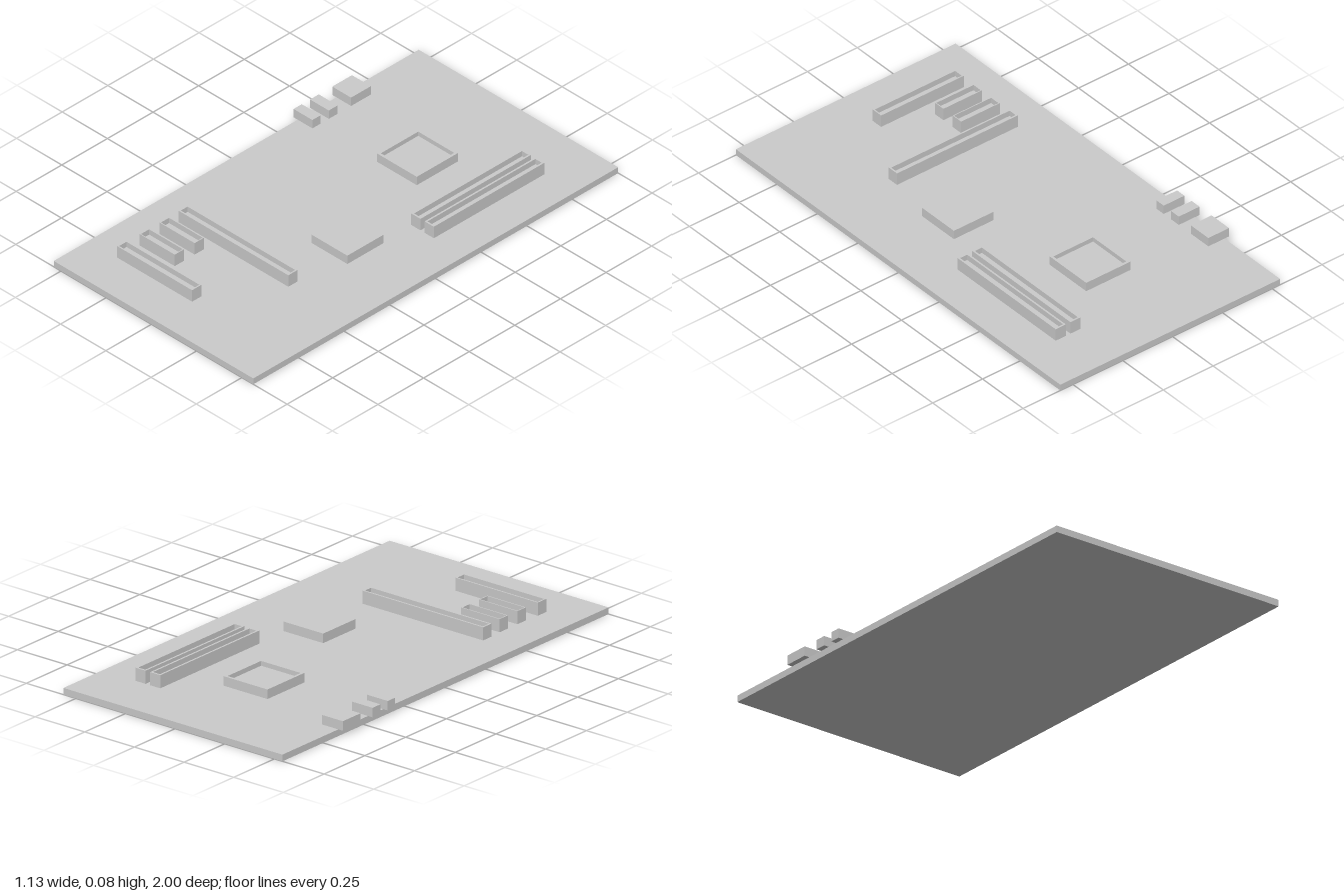
import * as THREE from 'three';

const BOARD_TOP = 0.028;
const material = new THREE.MeshStandardMaterial({ color: 0xcccccc, flatShading: true });

// Solid block given by its extents
function block(name, x0, x1, y0, y1, z0, z1) {
  const mesh = new THREE.Mesh(new THREE.BoxGeometry(x1 - x0, y1 - y0, z1 - z0), material);
  mesh.name = name;
  mesh.position.set((x0 + x1) / 2, (y0 + y1) / 2, (z0 + z1) / 2);
  return mesh;
}

// Open-topped housing: a raised rim around a recessed floor
function tray(name, x0, x1, z0, z1, top, wall, depth) {
  const group = new THREE.Group();
  group.name = name;
  const w = (x1 - x0) / 2, d = (z1 - z0) / 2;
  const rect = (Type, a, b) => new Type([
    new THREE.Vector2(-a, -b), new THREE.Vector2(a, -b),
    new THREE.Vector2(a, b), new THREE.Vector2(-a, b),
  ]);
  const shape = rect(THREE.Shape, w, d);
  shape.holes.push(rect(THREE.Path, w - wall, d - wall));
  const geometry = new THREE.ExtrudeGeometry(shape, { depth: top - BOARD_TOP, bevelEnabled: false });
  geometry.rotateX(-Math.PI / 2);
  const rim = new THREE.Mesh(geometry, material);
  rim.name = 'rim';
  rim.position.set((x0 + x1) / 2, BOARD_TOP, (z0 + z1) / 2);
  group.add(rim, block('floor', x0 + wall, x1 - wall, BOARD_TOP, top - depth, z0 + wall, z1 - wall));
  return group;
}

export function createModel() {
  const model = new THREE.Group();
  model.name = 'circuitBoard';

  // Board
  model.add(block('board', -0.54, 0.563, 0, BOARD_TOP, -1, 1));

  // Processor socket and chipset
  model.add(tray('processorSocket', -0.125, 0.096, -0.586, -0.359, 0.068, 0.011, 0.02));
  model.add(block('chipset', 0.08, 0.279, BOARD_TOP, 0.068, 0.005, 0.203));

  // Memory slots
  for (const [x0, x1] of [[0.269, 0.32], [0.343, 0.394]]) {
    model.add(tray('memorySlot', x0, x1, -0.764, -0.157, 0.083, 0.008, 0.025));
  }

  // Expansion slots: x range, z range, wall
  const slots = [
    [-0.383, 0.225, 0.422, 0.473, 0.007],
    [-0.378, -0.184, 0.529, 0.581, 0.004],
    [-0.378, -0.184, 0.638, 0.69, 0.004],
    [-0.383, 0.032, 0.757, 0.809, 0.006],
  ];
  for (const [x0, x1, z0, z1, wall] of slots) {
    model.add(tray('expansionSlot', x0, x1, z0, z1, 0.083, wall, 0.025));
  }

  // Edge ports overhanging the board's right side
  for (const [z0, z1] of [[-0.657, -0.549], [-0.475, -0.427], [-0.382, -0.337]]) {
    model.add(block('edgePort', -0.563, -0.459, BOARD_TOP, 0.068, z0, z1));
  }

  return model;
}
